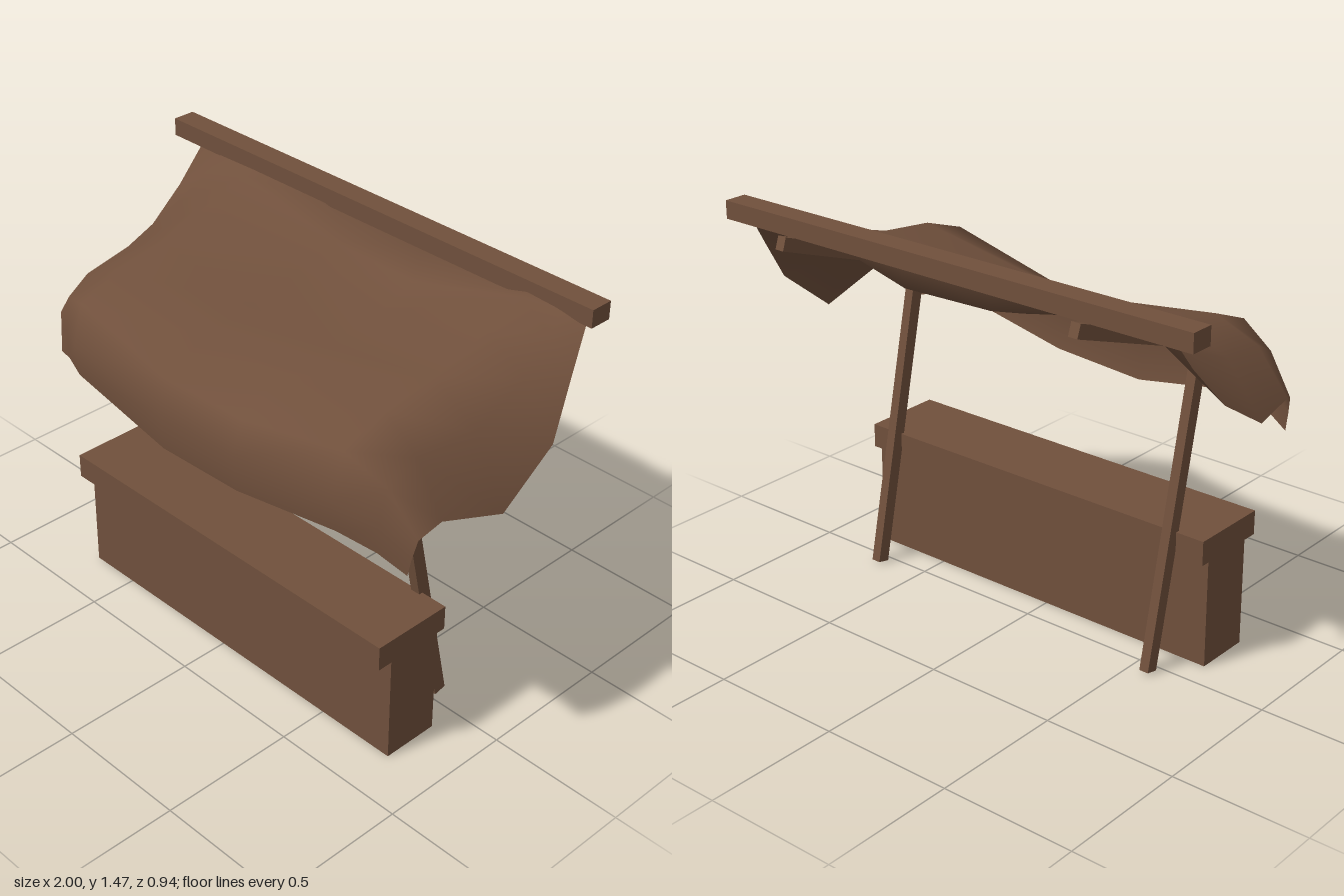
import * as THREE from 'three';

const wood = new THREE.MeshStandardMaterial({ color: 0x70503c, side: THREE.DoubleSide });
wood.name = 'brown';

function add(group, name, geometry) {
  const mesh = new THREE.Mesh(geometry, wood);
  mesh.name = name;
  group.add(mesh);
  return mesh;
}

// Axis-aligned box from its limits
function block(group, name, [x0, x1], [y0, y1], [z0, z1]) {
  add(group, name, new THREE.BoxGeometry(x1 - x0, y1 - y0, z1 - z0))
    .position.set((x0 + x1) / 2, (y0 + y1) / 2, (z0 + z1) / 2);
}

// Square bar in a plane of constant x, from [y, z] to [y, z]
function bar(group, name, x, [y0, z0], [y1, z1], width, depth) {
  const mesh = add(group, name, new THREE.BoxGeometry(width, Math.hypot(y1 - y0, z1 - z0), depth));
  mesh.position.set(x, (y0 + y1) / 2, (z0 + z1) / 2);
  mesh.rotation.x = Math.atan2(z1 - z0, y1 - y0);
}

// Cloth cross-sections from the back beam to the front hem:
// depth, heights over the four stations, and the tips of the two side flaps.
// The cloth rests high on the two rafters and sags between them.
const stations = [-0.6, -0.15, 0.22, 0.68];
const sections = [
  { z: -0.39, heights: [1.41, 1.41, 1.41, 1.425], right: [-0.865, 1.4, -0.39], left: [0.915, 1.4, -0.39] },
  { z: -0.36, heights: [1.385, 1.295, 1.285, 1.415], right: [-0.885, 1.27, -0.3], left: [0.95, 1.26, -0.29] },
  { z: -0.2, heights: [1.335, 1.24, 1.235, 1.355], right: [-0.915, 1.12, -0.17], left: [0.995, 1.1, -0.17] },
  { z: 0.03, heights: [1.265, 1.195, 1.2, 1.285], right: [-0.915, 0.99, 0.04], left: [0.985, 0.935, 0.035] },
  { z: 0.24, heights: [1.225, 1.165, 1.18, 1.26], right: [-0.88, 1.0, 0.24], left: [0.97, 1.03, 0.3] },
  { z: 0.41, heights: [1.16, 1.07, 1.09, 1.2], right: [-0.86, 0.98, 0.29], left: [0.96, 1.0, 0.39] },
  { z: 0.45, heights: [1.01, 0.95, 0.97, 1.03], right: [-0.85, 0.92, 0.3], left: [0.955, 0.94, 0.41] },
  { z: 0.435, heights: [0.89, 0.81, 0.83, 0.92], right: [-0.83, 0.845, 0.32], left: [0.94, 0.87, 0.41] },
];

function canopyGeometry() {
  const points = [], index = [];
  for (const { z, heights, right, left } of sections) {
    // The front reaches slightly further out toward its left side
    const top = stations.map((x, i) => [x, heights[i], z + Math.max(z, 0) * 0.06 * x]);
    // Each shoulder bulges outward between a flap tip and the roof
    const shoulder = (tip, roof) => [0.42, 0.68, 0.4].map((t, i) => tip[i] + (roof[i] - tip[i]) * t);
    points.push(right, shoulder(right, top[0]), ...top, shoulder(left, top[3]), left);
  }
  const columns = stations.length + 4;
  for (let r = 0; r < sections.length - 1; r++) {
    for (let c = 0; c < columns - 1; c++) {
      const a = r * columns + c, d = a + columns;
      index.push(a, d, a + 1, a + 1, d, d + 1);
    }
  }
  const geometry = new THREE.BufferGeometry();
  geometry.setAttribute('position', new THREE.Float32BufferAttribute(points.flat(), 3));
  geometry.setIndex(index);
  geometry.computeVertexNormals();
  return geometry;
}

export function createModel() {
  const stall = new THREE.Group();
  stall.name = 'marketStall';

  // Counter
  block(stall, 'counterBody', [-0.695, 0.805], [0, 0.4], [0.105, 0.318]);
  block(stall, 'counterTop', [-0.695, 0.805], [0.4, 0.49], [0.07, 0.375]);

  // Leaning posts and the rafters they carry
  for (const [side, x] of [['right', -0.567], ['left', 0.685]]) {
    bar(stall, side + 'Post', x, [0.005, -0.045], [1.13, 0.198], 0.036, 0.048);
    bar(stall, side + 'Rafter', x, [1.365, -0.465], [1.09, 0.32], 0.036, 0.048);
  }

  // Cross bar between posts, and the back beam holding the cloth
  block(stall, 'crossBar', [-0.567, 0.685], [1.1, 1.14], [0.17, 0.21]);
  block(stall, 'backBeam', [-1, 0.94], [1.4, 1.465], [-0.47, -0.385]);

  add(stall, 'clothCanopy', canopyGeometry());
  return stall;
}
